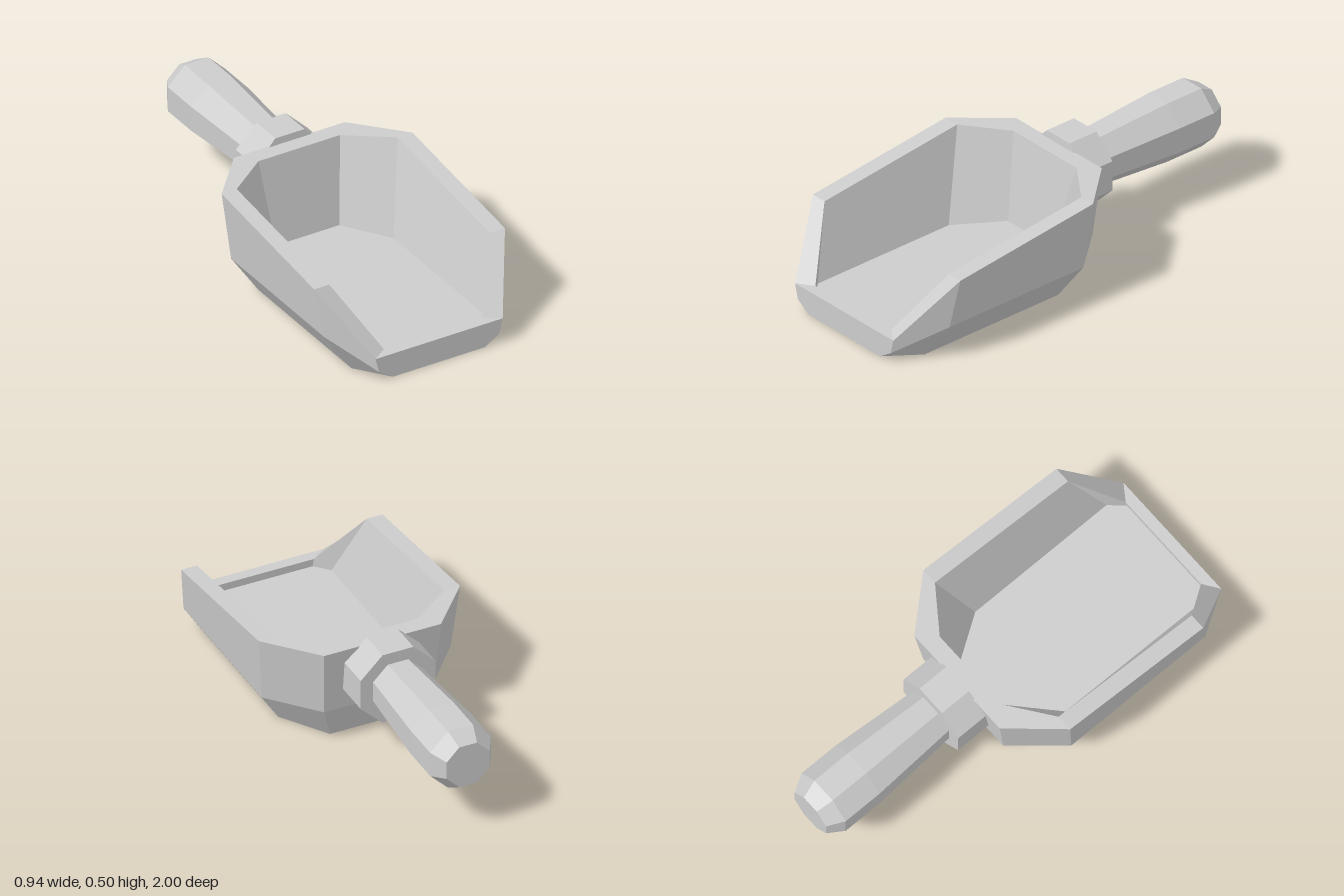
import * as THREE from 'three';

const FLAT = 1 / Math.cos(Math.PI / 8); // octagon: flat distance -> corner radius
const AXIS_Y = 0.33;

// Mirror a right-hand half outline (back to front) into a closed ring
const mirrorRing = half => [
  ...half,
  ...half.slice().reverse().map(([x, y, z]) => [-x, y, z]),
].map(p => new THREE.Vector3(...p));

// Skin a stack of rings and close both ends; every panel gets one flat normal
function loft(rings) {
  const pos = [], nor = [];
  const cross = (a, b, c, d) => b.clone().sub(a).cross(d.clone().sub(c));
  const tri = (normal, ...corners) => {
    for (const p of corners) {
      pos.push(p.x, p.y, p.z);
      nor.push(normal.x, normal.y, normal.z);
    }
  };
  const n = rings[0].length;
  for (let i = 0; i < rings.length - 1; i++) {
    for (let j = 0; j < n; j++) {
      const k = (j + 1) % n;
      const a = rings[i][j], b = rings[i][k], c = rings[i + 1][k], d = rings[i + 1][j];
      const normal = cross(b, d, a, c).normalize();
      // symmetric diagonals on both halves
      if (j < n / 2) { tri(normal, a, d, c); tri(normal, a, c, b); }
      else { tri(normal, a, d, b); tri(normal, b, d, c); }
    }
  }
  const first = rings[0], last = rings[rings.length - 1];
  const up = new THREE.Vector3(0, 1, 0), down = new THREE.Vector3(0, -1, 0);
  for (let k = 1; k < n - 1; k++) {
    tri(down, first[0], first[k], first[k + 1]);
    tri(up, last[0], last[k + 1], last[k]);
  }
  const geo = new THREE.BufferGeometry();
  geo.setAttribute('position', new THREE.Float32BufferAttribute(pos, 3));
  geo.setAttribute('normal', new THREE.Float32BufferAttribute(nor, 3));
  return geo;
}

// Split all faces so that each is shaded flat
function faceted(geo) {
  const flat = geo.toNonIndexed();
  flat.computeVertexNormals();
  return flat;
}

export function createModel() {
  const model = new THREE.Group();
  model.name = 'scoop';
  const grey = new THREE.MeshStandardMaterial({ color: 0xcccccc });
  grey.name = 'grey';
  const add = (name, geo) => {
    const mesh = new THREE.Mesh(geo, grey);
    mesh.name = name;
    model.add(mesh);
  };

  // Bowl: base, belly, outer rim, inner rim, inner floor sunk behind the front lip
  add('bowl', loft([
    [[0.2, 0, -0.1], [0.338, 0, 0.11], [0.338, 0, 0.85], [0.227, 0, 1]],
    [[0.255, 0.158, -0.155], [0.44, 0.158, 0.06], [0.44, 0.158, 0.8], [0.295, 0.045, 1]],
    [[0.272, 0.468, -0.19], [0.468, 0.468, 0.03], [0.468, 0.382, 0.765], [0.312, 0.113, 1]],
    [[0.2, 0.468, -0.112], [0.394, 0.468, 0.03], [0.394, 0.382, 0.765], [0.24, 0.113, 0.95]],
    [[0.156, 0.077, -0.045], [0.293, 0.077, 0.165], [0.293, 0.077, 0.89], [0.235, 0.077, 0.952]],
  ].map(mirrorRing)));

  // Collar: octagonal block whose front end leans with the back wall
  const collar = new THREE.CylinderGeometry(0.17 * FLAT, 0.17 * FLAT, 0.15, 8, 1, false, Math.PI / 8);
  collar.rotateX(-Math.PI / 2).scale(1.02, 1, 1).translate(0, AXIS_Y, -0.26);
  const p = collar.attributes.position;
  for (let i = 0; i < p.count; i++) {
    p.setZ(i, p.getZ(i) > -0.26 ? -0.152 - 0.1 * (p.getY(i) - 0.16) : -0.335);
  }
  add('collar', faceted(collar));

  // Handle: swelling octagonal grip with a chamfered end
  const profile = [[0, 0.33], [0.115, 0.33], [0.141, 0.74], [0.141, 0.927], [0.1, 1], [0, 1]];
  const handle = new THREE.LatheGeometry(
    profile.map(([r, y]) => new THREE.Vector2(r * FLAT, y)), 8, Math.PI / 8);
  handle.rotateX(-Math.PI / 2).translate(0, AXIS_Y, 0);
  add('handle', faceted(handle));

  return model;
}
